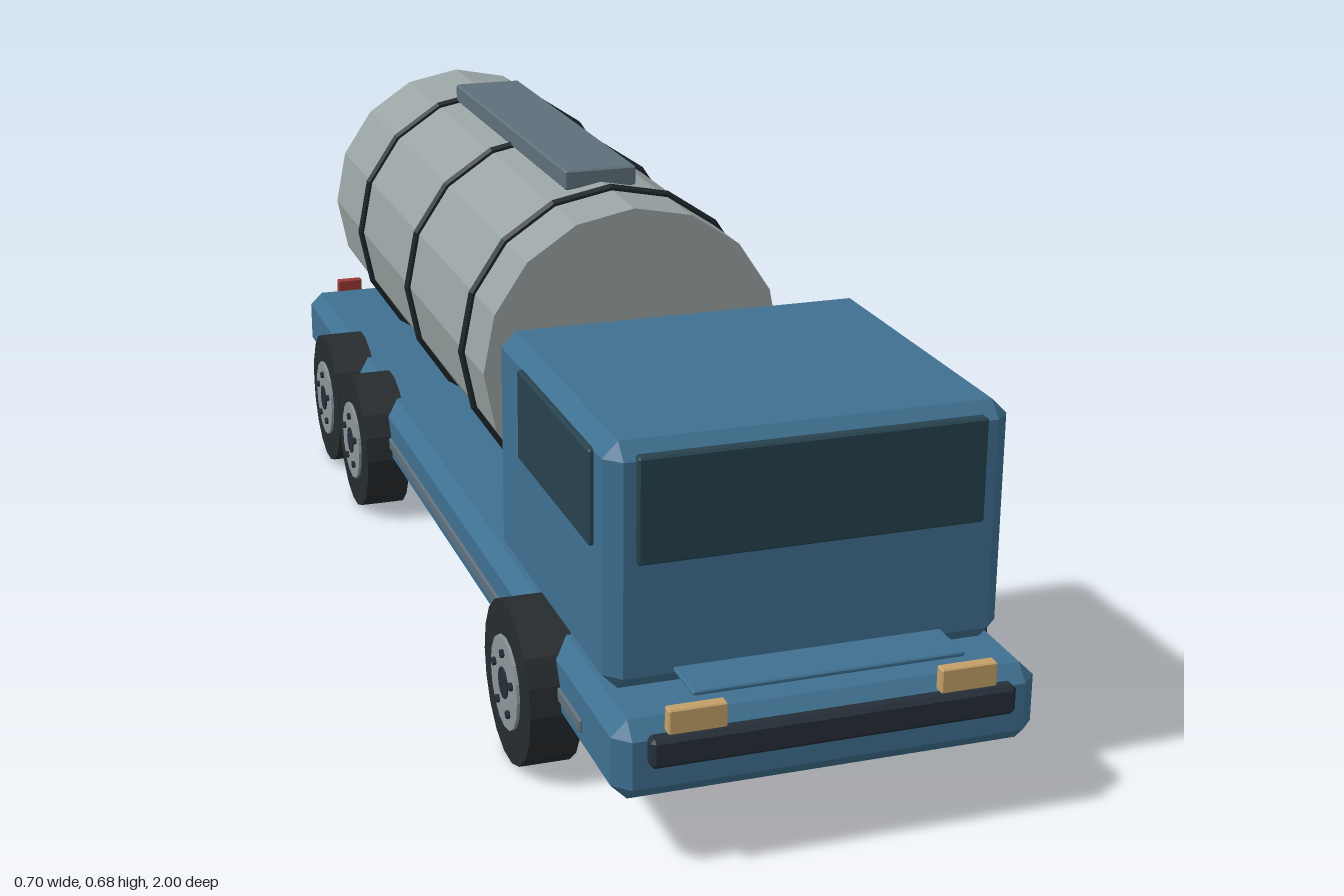
import * as THREE from 'three';
import { ConvexGeometry } from 'three/addons/geometries/ConvexGeometry.js';

const paint = (color) => new THREE.MeshStandardMaterial({ color, flatShading: true });
const BLUE = paint(0x3f7090), DARK = paint(0x252e38), GLASS = paint(0x27424e), TANK = paint(0x99a3a3);
const STEEL = paint(0x5f707b), RUBBER = paint(0x262b2e), HUB = paint(0x8b9599), BAND = paint(0x1c2429);
const LAMP = paint(0xc4a068), RED = paint(0x9c3a34);

// Box given by its limits on each axis, with every edge cut off by c
function chamferBox([x0, x1], [y0, y1], [z0, z1], c) {
  const half = [(x1 - x0) / 2, (y1 - y0) / 2, (z1 - z0) / 2];
  const points = [];
  for (const sx of [-1, 1]) for (const sy of [-1, 1]) for (const sz of [-1, 1]) {
    for (let full = 0; full < 3; full++) {
      const s = [sx, sy, sz];
      points.push(new THREE.Vector3(...half.map((h, i) => s[i] * (i === full ? h : h - c))));
    }
  }
  const g = new ConvexGeometry(points);
  g.translate((x0 + x1) / 2, (y0 + y1) / 2, (z0 + z1) / 2);
  return g;
}

export function createModel() {
  const model = new THREE.Group();
  model.name = 'tankTruck';

  const add = (name, geometry, material, parent = model) => {
    const mesh = new THREE.Mesh(geometry, material);
    mesh.name = name;
    parent.add(mesh);
    return mesh;
  };
  const block = (name, x, y, z, material, c = 0.003) => add(name, chamferBox(x, y, z, c), material);

  // Chassis and cab
  block('chassis', [-0.297, 0.297], [0.1, 0.212], [-0.993, 0.983], BLUE, 0.022);
  block('underbody', [-0.226, 0.226], [0.076, 0.12], [-0.9, 0.893], DARK, 0.005);
  block('cab', [-0.281, 0.281], [0.213, 0.556], [0.383, 0.896], BLUE, 0.022);
  block('windshield', [-0.242, 0.242], [0.394, 0.541], [0.885, 0.904], GLASS);
  block('hoodLedge', [-0.19, 0.19], [0.236, 0.243], [0.88, 0.97], BLUE, 0.002);
  block('frontBumper', [-0.255, 0.255], [0.155, 0.197], [0.975, 1], DARK, 0.006);

  // Mirrored side parts
  for (const s of [-1, 1]) {
    const span = (a, b) => (s > 0 ? [a, b] : [-b, -a]);
    block('sideWindow', span(0.272, 0.288), [0.402, 0.535], [0.51, 0.84], GLASS);
    block('sideRail', span(0.285, 0.301), [0.137, 0.156], [-0.845, 0.84], STEEL, 0.002);
    block('headlight', span(0.149, 0.229), [0.196, 0.231], [0.972, 0.99], LAMP, 0.002);
    block('tailLight', span(0.19, 0.237), [0.188, 0.229], [-1, -0.985], RED, 0.002);
  }

  // Tank lying along z, one corner pointing straight up
  const tank = add('tank', new THREE.CylinderGeometry(0.245, 0.245, 1.095, 16), TANK);
  tank.rotation.x = Math.PI / 2;
  tank.position.set(0, 0.41, -0.38);
  for (const z of [0.045, -0.324, -0.694]) {
    add('tankBand', new THREE.TorusGeometry(0.245, 0.009, 6, 16), BAND).position.set(0, 0.41, z);
  }
  block('tankWalkway', [-0.06, 0.06], [0.645, 0.677], [-0.695, -0.005], STEEL);

  // Wheels: cylinders turned so their axis runs along x
  const disc = (radius, width, sides) => new THREE.CylinderGeometry(radius, radius, width, sides).rotateZ(Math.PI / 2);
  const tyre = disc(0.118, 0.073, 18), hub = disc(0.068, 0.082, 16);
  const cap = disc(0.023, 0.086, 12), bolt = disc(0.006, 0.092, 6);
  for (const z of [0.629, -0.38, -0.616]) {
    for (const s of [-1, 1]) {
      const wheel = new THREE.Group();
      wheel.name = 'wheel';
      wheel.position.set(s * 0.3045, 0.118, z);
      model.add(wheel);
      add('tyre', tyre, RUBBER, wheel);
      add('hub', hub, HUB, wheel);
      add('hubCap', cap, DARK, wheel);
      for (let i = 0; i < 5; i++) {
        const a = (i / 5) * Math.PI * 2 + Math.PI / 2;
        add('bolt', bolt, DARK, wheel).position.set(0, 0.045 * Math.sin(a), 0.045 * Math.cos(a));
      }
    }
  }
  return model;
}
